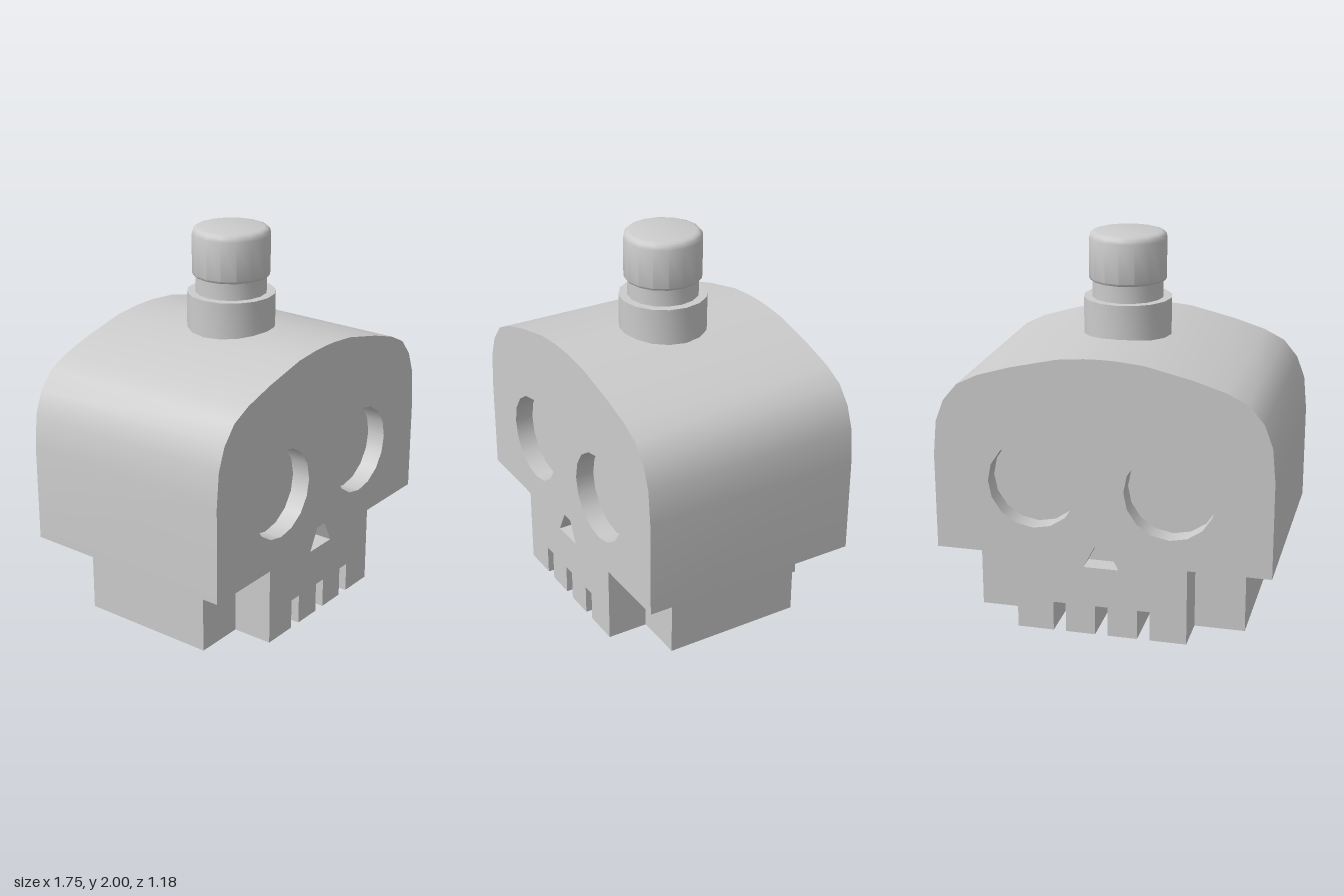
import * as THREE from 'three';
import { toCreasedNormals } from 'three/addons/utils/BufferGeometryUtils.js';

const HALF_DEPTH = 0.59, RECESS = 0.1, SIDES = 16, CREASE = 0.6;

export function createModel() {
  const group = new THREE.Group();
  const material = new THREE.MeshStandardMaterial({ color: 0xcccccc });

  const add = (name, geometry) => {
    const mesh = new THREE.Mesh(toCreasedNormals(geometry, CREASE), material);
    mesh.name = name;
    group.add(mesh);
    return mesh;
  };
  const vectors = (pairs) => pairs.map(([x, y]) => new THREE.Vector2(x, y));
  const extrude = (shape, halfDepth) =>
    new THREE.ExtrudeGeometry(shape, { depth: 2 * halfDepth, bevelEnabled: false })
      .translate(0, 0, -halfDepth);

  // Outline of skull and teeth: slots along the bottom, then up the left half
  const outline = [];
  for (const x of [-0.222, 0, 0.222]) {
    outline.push([x - 0.033, 0], [x - 0.033, 0.16], [x + 0.033, 0.16], [x + 0.033, 0]);
  }
  const half = [
    [0.447, 0], [0.447, 0.41], [0.875, 0.41], [0.875, 0.92], [0.858, 1.1],
    [0.815, 1.215], [0.74, 1.305], [0.63, 1.36], [0.46, 1.412], [0.22, 1.468], [0.08, 1.481],
  ];
  outline.push(...half, [0, 1.483], ...half.map(([x, y]) => [-x, y]).reverse());

  // Eye sockets and nose are shallow recesses on both front and back
  const eye = (cx) => Array.from({ length: SIDES }, (_, i) => {
    const a = (i / SIDES) * Math.PI * 2;
    return [cx + 0.236 * Math.cos(a), 0.802 + 0.236 * Math.sin(a)];
  });
  const recesses = {
    leftEyeFloor: eye(0.354),
    rightEyeFloor: eye(-0.354),
    noseFloor: [[-0.092, 0.375], [0.092, 0.375], [0.033, 0.492], [-0.033, 0.492]],
  };

  const skull = new THREE.Shape(vectors(outline));
  for (const [name, points] of Object.entries(recesses)) {
    skull.holes.push(new THREE.Path(vectors(points)));
    add(name, extrude(new THREE.Shape(vectors(points)), HALF_DEPTH - RECESS));
  }
  add('skull', extrude(skull, HALF_DEPTH));

  // Jaw blocks set in at each side
  for (const [name, side] of [['leftJaw', 1], ['rightJaw', -1]]) {
    add(name, new THREE.BoxGeometry(0.27, 0.41, 0.745)).position.set(side * 0.578, 0.205, 0);
  }

  // Collar, neck and rounded stopper
  const lathe = (name, profile) => add(name, new THREE.LatheGeometry(vectors(profile), SIDES));
  lathe('collar', [[0, 1.42], [0.23, 1.42], [0.23, 1.66], [0, 1.66]]);
  lathe('neck', [[0.185, 1.64], [0.185, 1.76]]);
  lathe('stopper', [
    [0, 1.75], [0.195, 1.75], [0.203, 1.762], [0.203, 1.965],
    [0.198, 1.983], [0.187, 1.995], [0.17, 2], [0, 2],
  ]);

  return group;
}
